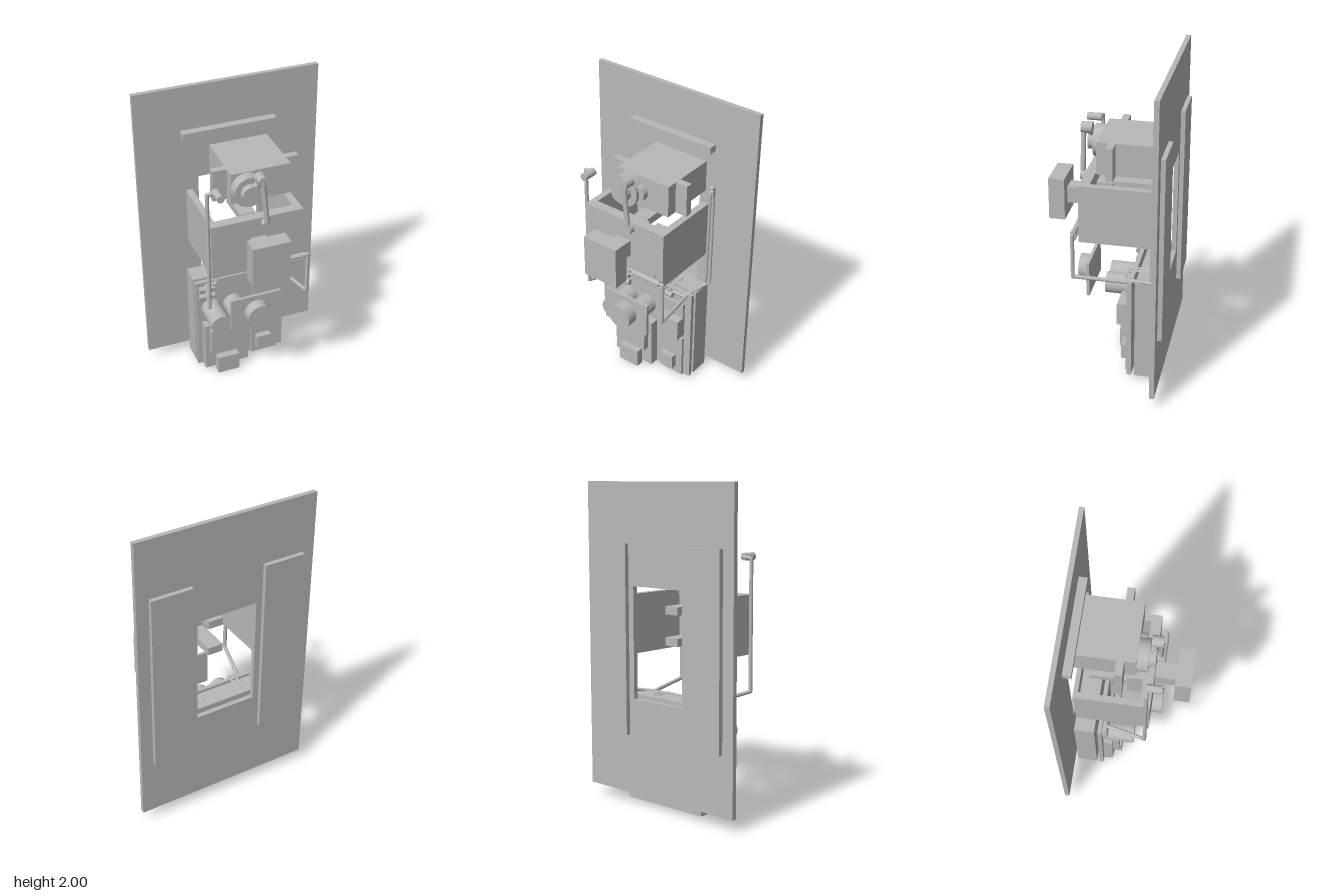
import * as THREE from 'three';

export function createModel() {
  const model = new THREE.Group();
  model.name = 'controlPanel';
  const grey = new THREE.MeshStandardMaterial({ color: 0xb8b8b8 });
  grey.name = 'plain grey';

  const add = (name, geometry, parent = model) => {
    const mesh = new THREE.Mesh(geometry, grey);
    mesh.name = name;
    parent.add(mesh);
    return mesh;
  };
  const group = (name) => {
    const g = new THREE.Group();
    g.name = name;
    model.add(g);
    return g;
  };
  // box given by its limits on each axis
  const box = (name, x0, x1, y0, y1, z0, z1, parent) => {
    const m = add(name, new THREE.BoxGeometry(x1 - x0, y1 - y0, z1 - z0), parent);
    m.position.set((x0 + x1) / 2, (y0 + y1) / 2, (z0 + z1) / 2);
    return m;
  };
  // cylinder between two points
  const rod = (name, a, b, r, parent) => {
    const p = new THREE.Vector3(...a), q = new THREE.Vector3(...b);
    const d = q.clone().sub(p);
    const m = add(name, new THREE.CylinderGeometry(r, r, d.length(), 32), parent);
    m.position.copy(p).add(q).multiplyScalar(0.5);
    m.quaternion.setFromUnitVectors(new THREE.Vector3(0, 1, 0), d.normalize());
    return m;
  };
  // cylinder pointing forward
  const disc = (name, x, y, r, z0, z1, parent) => rod(name, [x, y, z0], [x, y, z1], r, parent);
  // bent rod with rounded corners
  const linkage = (name, points, r) => {
    const g = group(name);
    points.forEach((p, i) => {
      if (i) rod(name + 'Rod', points[i - 1], p, r, g);
      add(name + 'Joint', new THREE.SphereGeometry(r, 16, 10), g).position.set(...p);
    });
  };

  // back board with a square opening
  const board = new THREE.Shape();
  board.moveTo(-0.59, 0.08).lineTo(0.59, 0.08).lineTo(0.59, 2).lineTo(-0.59, 2).closePath();
  const opening = new THREE.Path();
  opening.moveTo(-0.2, 0.68).lineTo(-0.2, 1.375).lineTo(0.2, 1.375).lineTo(0.2, 0.68).closePath();
  board.holes.push(opening);
  add('backBoard', new THREE.ExtrudeGeometry(board, { depth: 0.03, bevelEnabled: false }))
    .position.z = -0.362;
  for (const s of [-1, 1]) {
    box('rearStrip', s * 0.375 - 0.135, s * 0.375 + 0.135, 0.45, 1.63, -0.39, -0.362);
  }
  box('topBar', -0.305, 0.3, 1.67, 1.715, -0.332, -0.28);

  // upper drive unit
  box('driveHousing', -0.13, 0.25, 1.385, 1.59, -0.32, 0.06);
  box('mountingLug', -0.22, -0.13, 1.385, 1.59, -0.055, -0.01);
  box('mountingLug', 0.25, 0.33, 1.385, 1.59, -0.055, -0.01);
  disc('driveDrum', -0.033, 1.487, 0.1, 0.06, 0.126);
  disc('smallDrum', 0.045, 1.487, 0.055, 0.06, 0.1);

  // crank and connecting rod
  const crank = group('crank');
  disc('crankHub', -0.035, 1.487, 0.06, 0.126, 0.165, crank);
  disc('crankPin', 0.02, 1.585, 0.035, 0.13, 0.165, crank);
  rod('crankArm', [-0.035, 1.487, 0.147], [0.02, 1.585, 0.147], 0.018, crank);
  disc('rodTopEye', 0.02, 1.585, 0.033, 0.165, 0.2, crank);
  disc('rodBottomEye', 0.05, 1.285, 0.031, 0.165, 0.2, crank);
  rod('connectingRod', [0.02, 1.585, 0.187], [0.05, 1.285, 0.187], 0.016, crank);

  // open middle frame
  box('frameFront', -0.295, 0.295, 0.95, 1.32, 0.1, 0.163);
  box('frameSide', -0.295, -0.255, 0.95, 1.32, -0.29, 0.1);
  box('frameSide', 0.25, 0.295, 0.95, 1.32, -0.29, 0.1);
  box('frontNeck', -0.052, 0.05, 1.085, 1.19, 0.163, 0.29);
  box('frontBlock', -0.12, 0.12, 1.0, 1.27, 0.29, 0.39);
  box('innerBlock', -0.1, 0.07, 1.02, 1.25, 0.0, 0.1);
  for (const y of [1.04, 1.23]) box('innerProng', -0.05, 0.05, y - 0.025, y + 0.025, -0.24, 0);
  disc('frameBoss', 0.2, 1.0, 0.042, 0.163, 0.172);

  // lower case, open underneath
  box('caseTop', -0.305, 0.3, 0.68, 0.7, -0.315, -0.185);
  box('caseBack', -0.305, 0.3, 0.03, 0.68, -0.315, -0.3);
  box('caseFront', -0.305, 0.3, 0.03, 0.68, -0.2, -0.185);
  box('caseSide', -0.305, -0.29, 0.03, 0.68, -0.3, -0.2);
  box('caseSide', 0.285, 0.3, 0.03, 0.68, -0.3, -0.2);

  // lower front panel and its units
  box('lowerPanel', -0.305, 0.3, 0.03, 0.7, -0.165, -0.138);
  box('leftUnit', -0.27, 0.03, 0.03, 0.38, -0.138, -0.077);
  box('leftUnitCover', -0.24, 0, 0.165, 0.36, -0.077, -0.037);
  box('footBlock', -0.2, -0.05, 0.005, 0.13, -0.077, -0.025);
  box('rightPlate', 0.07, 0.25, 0.03, 0.33, -0.138, -0.12);
  box('rightButton', 0.1, 0.2, 0.08, 0.18, -0.12, -0.08);
  box('rightBackPlate', 0.085, 0.25, 0.365, 0.615, -0.138, -0.12);
  box('rightBlock', 0.085, 0.25, 0.365, 0.51, -0.12, -0.063);
  for (const x of [-0.203, -0.053]) disc('lowerDrum', x, 0.485, 0.068, -0.138, 0.063);

  // plate with a round knob
  box('knobPlate', -0.17, 0.165, 0.5, 0.73, 0.13, 0.15);
  disc('roundKnob', 0, 0.615, 0.082, 0.15, 0.222);

  // pivot shafts
  rod('pivotShaft', [-0.29, 0.66, -0.12], [-0.185, 0.66, -0.12], 0.019);
  rod('pivotShaft', [-0.29, 0.6, -0.12], [-0.185, 0.6, -0.12], 0.019);
  rod('pivotShaft', [0.08, 0.66, -0.12], [0.165, 0.66, -0.12], 0.019);
  for (const x of [-0.205, -0.17, 0.1, 0.135]) {
    linkage('pivotArm', [[x, 0.7, -0.255], [x, 0.69, -0.12]], 0.009);
  }

  // left lever
  linkage('leftLever', [
    [-0.24, 1.545, 0.14], [-0.308, 1.54, 0.14], [-0.308, 0.72, 0.14],
    [-0.24, 0.685, -0.12], [-0.18, 0.685, -0.12],
  ], 0.012);
  disc('leftGrip', -0.253, 1.547, 0.024, 0.135, 0.225);

  // right front lever
  linkage('rightFrontLever', [
    [0.29, 1.0, 0.197], [0.318, 1.0, 0.197], [0.318, 0.72, 0.197],
    [0.26, 0.685, -0.13], [0.17, 0.685, -0.13],
  ], 0.012);
  rod('rightGrip', [0.1, 1.0, 0.197], [0.3, 1.0, 0.197], 0.018);
  linkage('gripTrigger', [[0.3, 0.968, 0.19], [0.06, 0.968, 0.19], [0.06, 1.0, 0.19], [0.1, 1.0, 0.19]], 0.009);

  // right rear lever
  linkage('rightRearLever', [
    [0.318, 1.43, -0.305], [0.318, 0.725, -0.305], [0.25, 0.69, -0.14], [0.18, 0.675, -0.14],
  ], 0.011);
  linkage('rightRearLink', [
    [0.31, 1.4, -0.285], [0.302, 0.72, -0.285], [0.23, 0.685, -0.125],
  ], 0.009);
  for (const y of [1.39, 1.41, 1.435]) {
    rod('leverCatch', [0.3, y, -0.295], [0.328, y, -0.295], 0.012);
  }
  return model;
}
